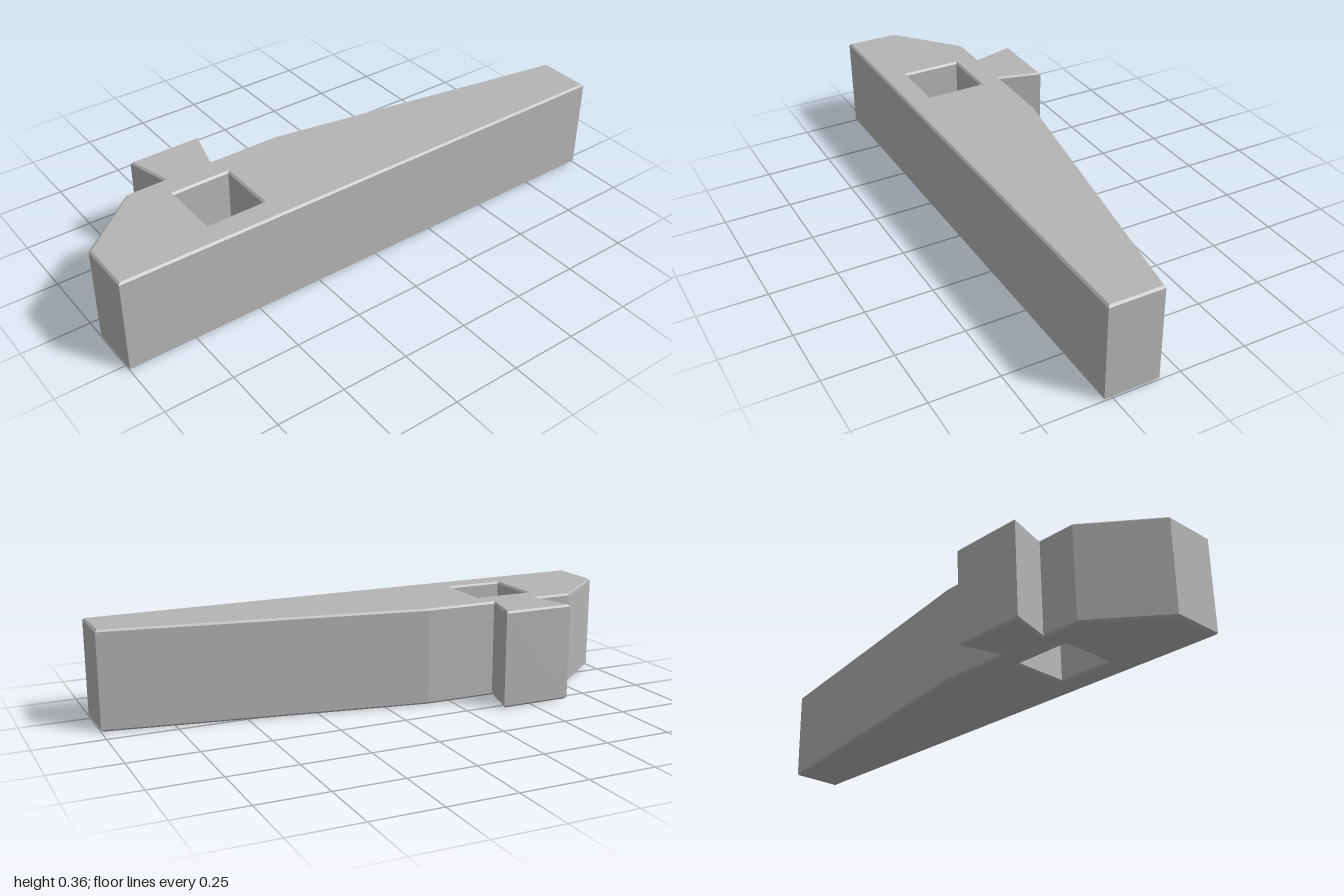
import * as THREE from 'three';

const HEIGHT = 0.36;
const CHAMFER = 0.007;

// Plan points are [x, z]; the shape's y axis becomes -z after the rotation.
const toPlan = (points) => points.map(([x, z]) => new THREE.Vector2(x, -z));

export function createModel() {
  const grey = new THREE.MeshStandardMaterial({ color: 0xb4b4b4 });
  grey.name = 'grey';

  // Tapered bar with a dovetail lug on its back edge
  const outline = new THREE.Shape(toPlan([
    [-1, 0.28], [1, 0.28], [1, 0.08], [-0.16, -0.12],
    [-0.43, -0.12], [-0.387, -0.28], [-0.658, -0.28], [-0.615, -0.12],
    [-0.76, -0.12], [-1, 0.08],
  ]));

  // Square hole through the full height
  outline.holes.push(new THREE.Path(toPlan([
    [-0.63, -0.03], [-0.415, -0.03], [-0.415, 0.185], [-0.63, 0.185],
  ])));

  // Small chamfer on all top and bottom edges
  const geometry = new THREE.ExtrudeGeometry(outline, {
    depth: HEIGHT - 2 * CHAMFER,
    bevelEnabled: true,
    bevelThickness: CHAMFER,
    bevelSize: CHAMFER,
    bevelOffset: -CHAMFER,
    bevelSegments: 1,
  });
  geometry.rotateX(-Math.PI / 2);
  geometry.translate(0, CHAMFER, 0);

  const body = new THREE.Mesh(geometry, grey);
  body.name = 'dovetailBar';

  const model = new THREE.Group();
  model.name = 'taperedDovetailBar';
  model.add(body);
  return model;
}
